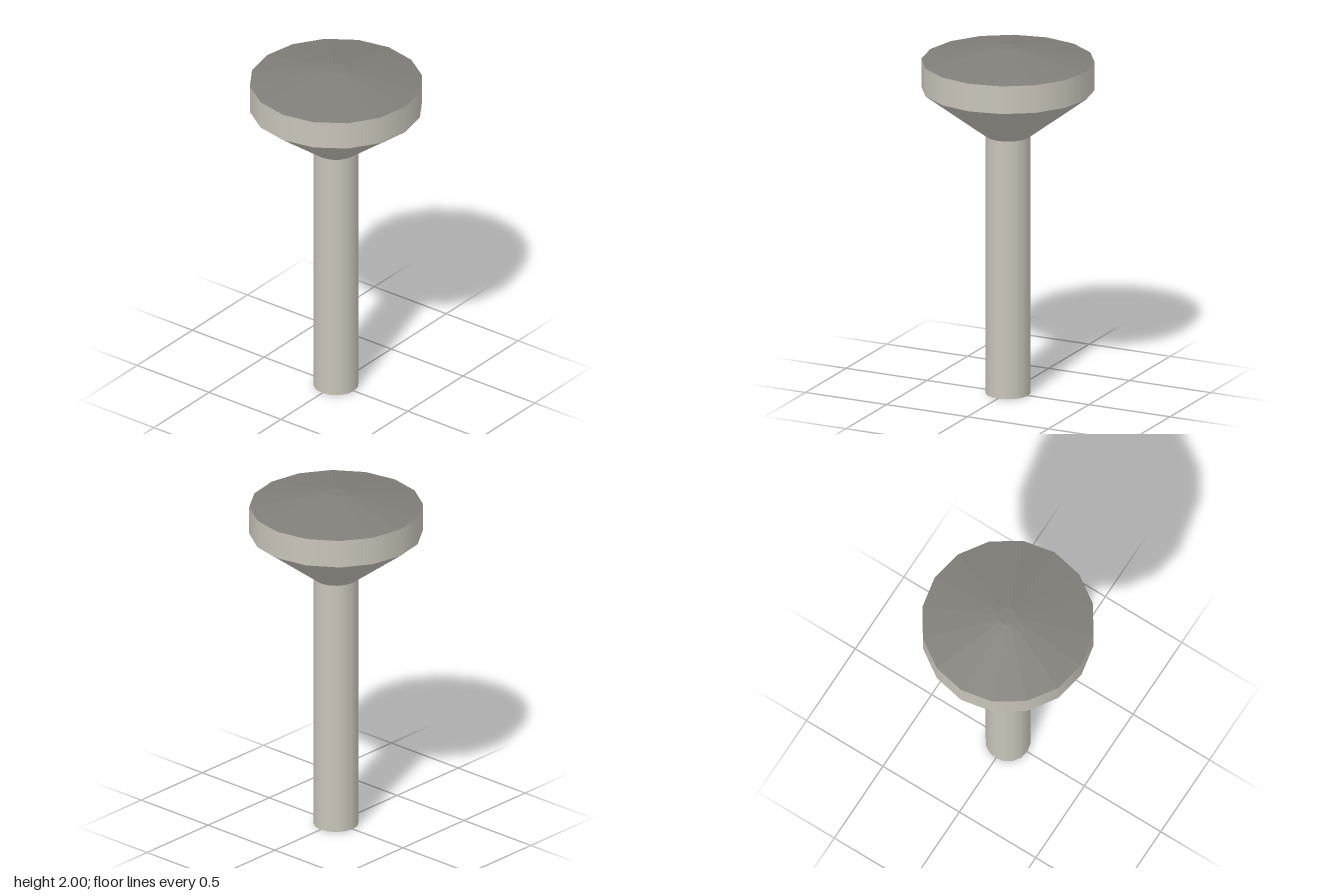
import * as THREE from 'three';

const SIDES = 16;

export function createModel() {
  const model = new THREE.Group();
  const paleMetal = new THREE.MeshStandardMaterial({ color: 0xc8c4b9, side: THREE.DoubleSide });
  paleMetal.name = 'pale metal';
  const darkTop = new THREE.MeshStandardMaterial({ color: 0x807e78, side: THREE.DoubleSide });
  darkTop.name = 'dark top';

  // One open ring of wall between two heights; faceted rings get one normal per face
  function addRing(name, material, y0, r0, y1, r1, faceted) {
    let geometry = new THREE.CylinderGeometry(r1, r0, y1 - y0, SIDES, 1, true);
    if (faceted) {
      geometry = geometry.toNonIndexed();
      geometry.computeVertexNormals();
    }
    const mesh = new THREE.Mesh(geometry, material);
    mesh.name = name;
    mesh.position.y = (y0 + y1) / 2;
    model.add(mesh);
  }

  // Hollow stem, open at the foot
  addRing('stem', paleMetal, 0, 0.125, 1.49, 0.125, false);

  // Head: flared underside, upright rim and shallow sloping top
  addRing('headUnderside', paleMetal, 1.49, 0.125, 1.76, 0.48, true);
  addRing('headRim', paleMetal, 1.76, 0.48, 1.92, 0.48, false);
  addRing('headTop', darkTop, 1.92, 0.48, 2, 0.052, true);

  // Small flat disc closing the top
  const cap = new THREE.Mesh(new THREE.CircleGeometry(0.052, SIDES), darkTop);
  cap.name = 'topCap';
  cap.rotation.x = -Math.PI / 2;
  cap.position.y = 2;
  model.add(cap);

  return model;
}
